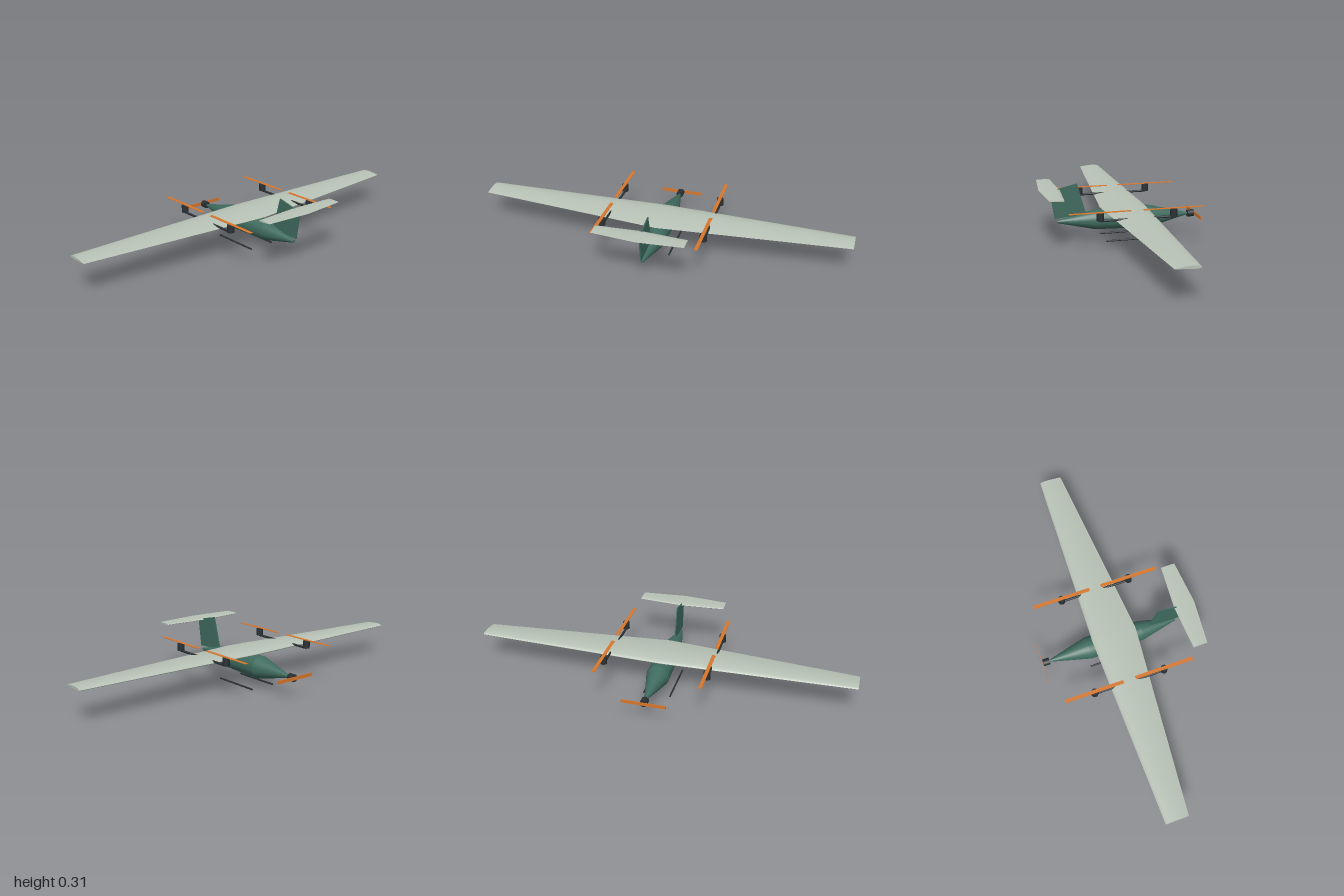
import * as THREE from 'three';
import { toCreasedNormals } from 'three/addons/utils/BufferGeometryUtils.js';

const paint = (color) => new THREE.MeshStandardMaterial({ color });

// Lofts a cambered airfoil through stations [z, leadingX, trailingX, leadingY, trailingY]
function airfoilLoft(stations, thickness, camber, n = 14) {
  const profile = [];
  for (let k = 0; k < 2 * n; k++) {
    const x = (1 + Math.cos((k / n) * Math.PI)) / 2;
    const half = 5 * thickness * (0.2969 * Math.sqrt(x) - 0.126 * x - 0.3516 * x ** 2 + 0.2843 * x ** 3 - 0.1036 * x ** 4);
    profile.push([x, 4 * camber * x * (1 - x) + (k <= n ? half : -half)]);
  }
  const m = profile.length;
  const positions = [];
  const index = [];
  for (const [z, x0, x1, y0, y1] of stations) {
    for (const [u, v] of profile) positions.push(x0 + u * (x1 - x0), y0 + u * (y1 - y0) + v * (x1 - x0), z);
  }
  const last = (stations.length - 1) * m;
  for (let i = 0; i < last; i += m) {
    for (let j = 0; j < m; j++) {
      const k = (j + 1) % m;
      index.push(i + j, i + k, i + m + k, i + j, i + m + k, i + m + j);
    }
  }
  // Flat tips
  for (let j = 1; j < m - 1; j++) index.push(0, j + 1, j, last, last + j, last + j + 1);
  const geometry = new THREE.BufferGeometry();
  geometry.setAttribute('position', new THREE.Float32BufferAttribute(positions, 3));
  geometry.setIndex(index);
  return toCreasedNormals(geometry, 0.7);
}

export function createModel() {
  const model = new THREE.Group();
  model.name = 'aircraft';
  const green = paint(0x3f6b5e);
  const pale = paint(0xb8c2b6);
  const dark = paint(0x2a3033);
  const orange = paint(0xd9772b);

  function add(name, geometry, material, x = 0, y = 0, z = 0) {
    const mesh = new THREE.Mesh(geometry, material);
    mesh.name = name;
    mesh.position.set(x, y, z);
    model.add(mesh);
    return mesh;
  }
  const rodX = (radius, length, sides) => new THREE.CylinderGeometry(radius, radius, length, sides).rotateZ(Math.PI / 2);

  // Fuselage: nose cone, gently tapering middle and tail cone
  const outline = [[0, -0.385], [0.005, -0.385], [0.06, -0.165], [0.052, 0.13], [0.007, 0.325], [0, 0.325]];
  const body = new THREE.LatheGeometry(outline.map(([r, x]) => new THREE.Vector2(r, x)), 40).rotateZ(-Math.PI / 2);
  add('fuselage', toCreasedNormals(body, 0.2), green, 0, 0.106, 0);

  // Wing and tailplane, tapered both ways from the centre
  add('wing', airfoilLoft([
    [-1, -0.11, 0.01, 0.17, 0.17],
    [0, -0.14, 0.1, 0.17, 0.17],
    [1, -0.11, 0.01, 0.17, 0.17],
  ], 0.12, 0.02), pale);
  add('tailplane', airfoilLoft([
    [-0.235, 0.325, 0.4, 0.277, 0.28],
    [0, 0.31, 0.42, 0.276, 0.28],
    [0.235, 0.325, 0.4, 0.277, 0.28],
  ], 0.1, 0), pale);

  // Swept fin
  const fin = new THREE.Shape([[0.172, 0.136], [0.34, 0.123], [0.362, 0.272], [0.22, 0.305]].map(([x, y]) => new THREE.Vector2(x, y)));
  add('fin', new THREE.ExtrudeGeometry(fin, { depth: 0.006, bevelEnabled: false }), green, 0, 0, -0.003);

  // Nose motor and propeller
  add('noseMotor', rodX(0.019, 0.035, 24), dark, -0.4, 0.106, 0);
  add('nosePropeller', new THREE.BoxGeometry(0.002, 0.018, 0.23), orange, -0.421, 0.106, 0);

  // Booms with lift motors and rotors, and landing skids, on both sides
  for (const [side, s] of [['left', -1], ['right', 1]]) {
    add(side + 'Boom', rodX(0.006, 0.376, 16), dark, -0.032, 0.175, s * 0.27);
    for (const [end, x] of [['Front', -0.22], ['Rear', 0.156]]) {
      add(side + end + 'LiftMotor', new THREE.CylinderGeometry(0.018, 0.018, 0.038, 24), dark, x, 0.195, s * 0.27);
      add(side + end + 'Rotor', new THREE.BoxGeometry(0.312, 0.002, 0.018), orange, x, 0.218, s * 0.27);
    }
    add(side + 'Skid', rodX(0.0045, 0.26, 12), dark, -0.05, 0.0045, s * 0.07);
  }
  return model;
}
